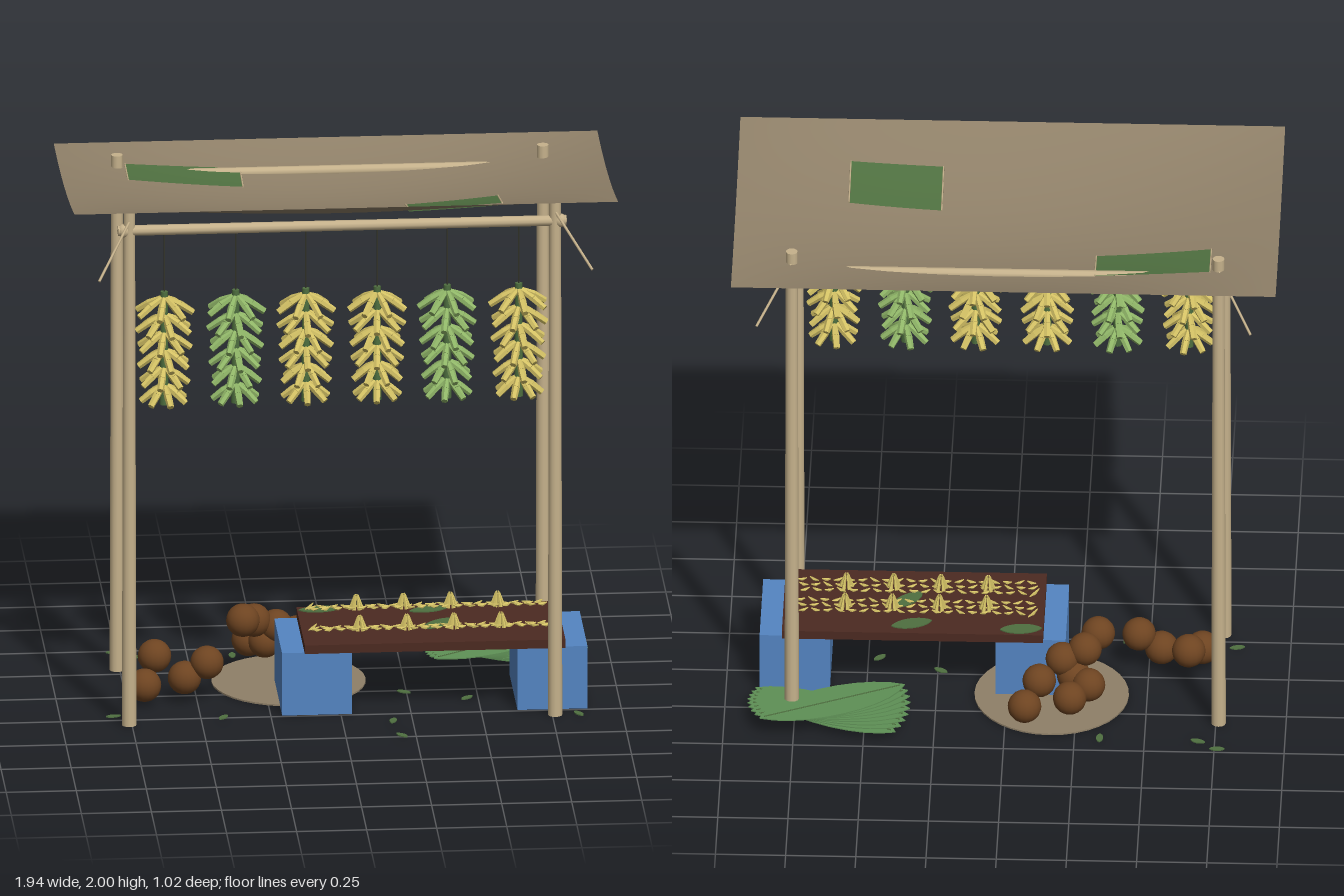
import * as THREE from 'three';
import { mergeGeometries } from 'three/addons/utils/BufferGeometryUtils.js';

const mat = (name, color, side = THREE.FrontSide, flatShading = false) =>
  Object.assign(new THREE.MeshStandardMaterial({ color, side, flatShading }), { name });
const V = (x, y, z) => new THREE.Vector3(x, y, z);
const UP = V(0, 1, 0);

// Tapered rod between two points, r0 at a and r1 at b
function rod(a, b, r0, r1 = r0, sides = 10) {
  const d = b.clone().sub(a);
  const g = new THREE.CylinderGeometry(r1, r0, d.length(), sides);
  g.applyQuaternion(new THREE.Quaternion().setFromUnitVectors(UP, d.clone().normalize()));
  const m = a.clone().add(b).multiplyScalar(0.5);
  return g.translate(m.x, m.y, m.z);
}

// Height of the sagging cloth
function clothY(x, z) {
  const sag = 0.112 * (1 - (z / 0.51) ** 2) * (0.25 + 0.75 * Math.cos((Math.PI / 2) * (x / 0.97)));
  return 1.957 + 0.083 * z - sag;
}

// Sheet that follows the cloth
function clothSheet(x0, x1, z0, z1, nx, nz, lift = 0) {
  const g = new THREE.PlaneGeometry(x1 - x0, z1 - z0, nx, nz).rotateX(-Math.PI / 2);
  g.translate((x0 + x1) / 2, 0, (z0 + z1) / 2);
  const p = g.attributes.position;
  for (let i = 0; i < p.count; i++) p.setY(i, clothY(p.getX(i), p.getZ(i)) + lift);
  g.computeVertexNormals();
  return g;
}

// Thin pointed oval leaf lying flat
function leafGeo(len, wid) {
  const s = new THREE.Shape();
  s.moveTo(-len, 0);
  s.bezierCurveTo(-len * 0.6, wid * 1.3, len * 0.6, wid * 1.3, len, 0);
  s.bezierCurveTo(len * 0.6, -wid * 1.3, -len * 0.6, -wid * 1.3, -len, 0);
  return new THREE.ExtrudeGeometry(s, { depth: 0.004, bevelEnabled: false, curveSegments: 10 }).rotateX(-Math.PI / 2);
}

export function createModel() {
  const root = new THREE.Group();
  const D = THREE.DoubleSide;
  const M = {
    wood: mat('paleWood', 0xc6b28c),
    cloth: mat('cloth', 0x8f8068, D),
    patch: mat('patchGreen', 0x4f7040, D),
    yellow: mat('yellowFruit', 0xd2c064, D, true),
    green: mat('greenFruit', 0x8fb567, D, true),
    string: mat('string', 0x35362c),
    blue: mat('crateBlue', 0x5485c2),
    board: mat('boardBrown', 0x4c2a21),
    nut: mat('coconutBrown', 0x6e4421),
    leaf: mat('leafGreen', 0x5f9156, D),
  };
  const add = (name, geo, material, parent = root) => {
    const m = new THREE.Mesh(geo, material);
    m.name = name;
    parent.add(m);
    return m;
  };

  // Posts, lashings and guy sticks
  for (const sx of [-1, 1]) for (const sz of [-1, 1]) {
    const x = sx * 0.76, z = sz * 0.3;
    add('post', rod(V(x, 0, z), V(x, 1.94, z), 0.026, 0.021, 12), M.wood);
    add('lashing', new THREE.SphereGeometry(0.025, 12, 8).translate(x + sx * 0.018, 1.862, z), M.wood);
    add('guyStick', rod(V(x, 1.9, sz * 0.315), V(sx * 0.88, 1.735, sz * 0.48), 0.005, 0.005, 6), M.wood);
  }
  // Cross bars
  for (const z of [-0.3, 0.3])
    add('crossBar', rod(V(-0.8, 1.862, z), V(0.8, 1.862, z), 0.019, 0.019, 10), M.wood);

  // Canopy with stitched patches
  add('canopy', clothSheet(-0.97, 0.97, -0.51, 0.51, 48, 28), M.cloth);
  for (const [x0, x1, z0, z1] of [[-0.73, -0.32, -0.32, -0.16], [0.24, 0.57, 0.11, 0.32]]) {
    for (const lift of [0.004, -0.004])
      add('canopyPatch', clothSheet(x0, x1, z0, z1, 14, 10, lift), M.patch);
    for (const x of [x0, x1])
      add('stitch', rod(V(x, clothY(x, z0) + 0.004, z0), V(x, clothY(x, z1) + 0.004, z1), 0.003, 0.003, 5), M.wood);
  }

  // Hanging fruit bunches
  [-0.635, -0.38, -0.13, 0.125, 0.375, 0.63].forEach((x, b) => {
    const bunch = new THREE.Group();
    bunch.name = 'hangingBunch';
    bunch.position.set(x, 0, 0.3);
    add('string', rod(V(0, 1.62, 0), V(0, 1.86, 0), 0.003, 0.003, 5), M.string, bunch);
    add('stem', rod(V(0, 1.205, 0), V(0, 1.63, 0), 0.016, 0.013, 8), M.patch, bunch);
    const fruits = [];
    for (let t = 0; t < 6; t++) {
      const y = 1.605 - t * 0.066, reach = 0.103 - t * 0.004;
      for (let i = 0; i < 7; i++) {
        const a = (i / 7) * Math.PI * 2 + t * 0.45 + b;
        const c = Math.cos(a), s = Math.sin(a);
        const mid = V(c * reach * 0.55, y - 0.025, s * reach * 0.55);
        fruits.push(rod(V(c * 0.01, y, s * 0.01), mid, 0.009, 0.014, 6));
        fruits.push(rod(mid, V(c * reach, y - 0.056, s * reach), 0.014, 0.012, 6));
      }
    }
    add('fruit', mergeGeometries(fruits), b % 3 === 1 ? M.green : M.yellow, bunch);
    root.add(bunch);
  });

  // Table: two crates and a plank
  for (const x of [-0.085, 0.755])
    add('crate', new THREE.BoxGeometry(0.25, 0.235, 0.38).translate(x, 0.1175, 0.05), M.blue);
  add('tableBoard', new THREE.BoxGeometry(0.93, 0.032, 0.42).translate(0.335, 0.252, 0.048), M.board);
  for (const [x, z, r] of [[0.34, -0.1, 0.3], [-0.05, -0.125, 0.1], [0.36, 0.06, 0.8]])
    add('boardLeaf', leafGeo(0.075, 0.032).rotateY(r).translate(x, 0.269, z), M.patch);

  // Two rows of small fruit on the plank
  for (const [z, y] of [[0.13, 0.288], [-0.04, 0.308]]) {
    const bits = [];
    for (let i = 0; i < 20; i++) for (let k = -1; k <= 1; k++) {
      const x = -0.085 + i * 0.043 + k * 0.006, zz = z + k * 0.027;
      const yy = y - 0.006 + (k + 1) * 0.005, sl = (((i * 7 + k * 3) % 5) - 2) * 0.006;
      bits.push(rod(V(x - 0.016, yy, zz - sl), V(x, yy - 0.003, zz), 0.002, 0.006, 5));
      bits.push(rod(V(x, yy - 0.003, zz), V(x + 0.016, yy + 0.002, zz + sl), 0.006, 0.002, 5));
    }
    for (let h = 0; h < 4; h++) for (let i = 0; i < 6; i++) {
      const x = 0.075 + h * 0.168, a = (i / 6) * Math.PI * 2;
      bits.push(rod(V(x + Math.cos(a) * 0.02, y - 0.008, z + Math.sin(a) * 0.025),
        V(x + Math.cos(a) * 0.006, y + 0.042, z + Math.sin(a) * 0.01), 0.008, 0.003, 5));
    }
    add('smallFruitRow', mergeGeometries(bits), M.yellow);
  }

  // Coconuts and the round mat below them
  add('roundMat', new THREE.CylinderGeometry(0.275, 0.275, 0.006, 36).translate(-0.16, 0.004, -0.13), M.cloth);
  const nut = new THREE.SphereGeometry(0.06, 18, 12);
  for (const [x, y, z] of [
    [-0.69, 0.075, 0.09], [-0.645, 0.14, -0.04], [-0.545, 0.09, 0.06], [-0.465, 0.145, 0.06],
    [-0.325, 0.245, -0.1], [-0.28, 0.22, -0.17], [-0.295, 0.12, -0.25], [-0.23, 0.1, -0.31],
    [-0.2, 0.19, -0.19], [-0.12, 0.14, -0.26], [-0.07, 0.075, -0.33], [-0.24, 0.13, -0.2],
  ]) add('coconut', nut, M.nut).position.set(x, y, z);

  // Fanned stack of large leaves
  for (let i = 0; i < 9; i++) {
    const leaf = add('largeLeaf', leafGeo(0.29, 0.1), M.leaf);
    leaf.position.set(0.64 - i * 0.003, 0.03 + i * 0.0045, -0.31);
    leaf.rotation.set(0.03, -0.5 + i * 0.125, 0.02);
    const rib = add('leafRib', rod(V(-0.27, 0.004, 0), V(0.27, 0.004, 0), 0.003, 0.003, 5), M.patch);
    rib.position.copy(leaf.position);
    rib.rotation.copy(leaf.rotation);
  }

  // Small fallen leaves
  [[-0.76, -0.48], [0.18, 0.33], [0.24, 0.02], [0.46, 0.1], [0.845, 0.3], [-0.81, 0.21], [-0.34, -0.42],
    [-0.69, -0.43], [-0.42, 0.25], [0.2, 0.49]].forEach(([x, z], i) =>
    add('fallenLeaf', leafGeo(0.028, 0.013).rotateY(i * 1.3).translate(x, 0.001, z), M.patch));

  return root;
}
